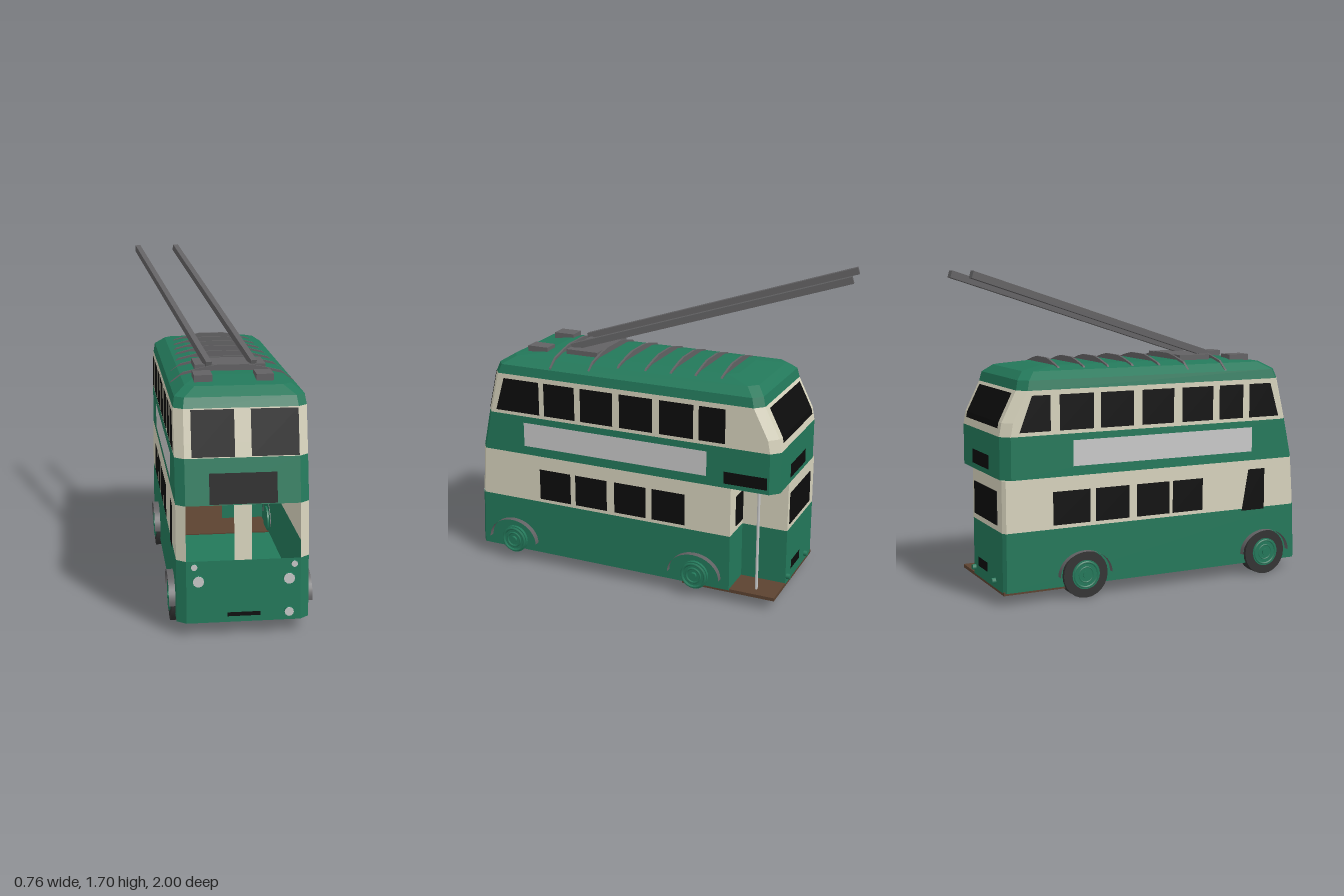
import * as THREE from 'three';

const CX = 0.025, HW = 0.3225; // body centre line and half width
const mat = (name, color, side = THREE.DoubleSide) => {
  const m = new THREE.MeshStandardMaterial({ color, side });
  m.name = name;
  return m;
};

// Front and rear face positions by height
const FRONT = [[0.07, 0.99], [0.38, 0.977], [0.65, 0.957], [0.87, 0.91], [1.1, 0.855]];
const REAR = [[0.07, -0.79], [0.87, -0.79], [0.94, -0.777], [1.1, -0.697]];
const lerpAt = (table, y) => {
  for (let i = 1; i < table.length; i++) {
    const [y0, z0] = table[i - 1], [y1, z1] = table[i];
    if (y <= y1 || i === table.length - 1) return z0 + (z1 - z0) * (y - y0) / (y1 - y0);
  }
};
const frontZ = y => lerpAt(FRONT, y), rearZ = y => lerpAt(REAR, y);

// Closed octagonal outline [x, z] with chamfered corners
const ring = (hw, zf, zr, c = 0.045) => [
  [CX + hw, zr + c], [CX + hw, zf - 0.035], [CX + hw - 0.045, zf], [CX - hw + 0.045, zf],
  [CX - hw, zf - 0.035], [CX - hw, zr + c], [CX - hw + c, zr], [CX + hw - c, zr]];

// Open outline of the lower deck, leaving the rear corner free for the platform
const lowerOutline = y => {
  const f = frontZ(y), r = CX + HW, l = CX - HW;
  return [[0.1, -0.54], [r, -0.54], [r, f - 0.035], [r - 0.045, f], [l + 0.045, f], [l, f - 0.035],
    [l, -0.775], [l + 0.02, -0.79], [0.16, -0.79], [0.16, -0.54]];
};

function geometryFrom(quads) {
  const pos = [];
  for (const [a, b, c, d] of quads) pos.push(...a, ...b, ...c, ...a, ...c, ...d);
  const g = new THREE.BufferGeometry();
  g.setAttribute('position', new THREE.Float32BufferAttribute(pos, 3));
  g.computeVertexNormals();
  return g;
}

// Wall strip between two outlines
function band(y0, lo, y1, hi, closed, skip = -1) {
  const quads = [], n = lo.length;
  for (let i = 0; i < (closed ? n : n - 1); i++) {
    if (i === skip) continue;
    const j = (i + 1) % n;
    const p = (o, k, y) => [o[k][0], y, o[k][1]];
    quads.push([p(lo, j, y0), p(lo, i, y0), p(hi, i, y1), p(hi, j, y1)]);
  }
  return geometryFrom(quads);
}

function plate(outline, y) {
  const g = new THREE.ShapeGeometry(new THREE.Shape(outline.map(([x, z]) => new THREE.Vector2(x, -z))));
  return g.rotateX(-Math.PI / 2).translate(0, y, 0);
}

export function createModel() {
  const root = new THREE.Group();
  root.name = 'trolleybus';
  const green = mat('green paint', 0x23785a), cream = mat('cream paint', 0xd6d2bc);
  const black = mat('window black', 0x0c0c0c), grey = mat('roof grey', 0x626163);
  const tyre = mat('tyre rubber', 0x333333), silver = mat('pale silver', 0xc8c8c8);
  const brown = mat('platform brown', 0x5c4230);

  const add = (name, geo, m, parent = root) => {
    const mesh = new THREE.Mesh(geo, m);
    mesh.name = name;
    parent.add(mesh);
    return mesh;
  };
  const box = (name, m, x0, x1, y0, y1, z0, z1) => add(name,
    new THREE.BoxGeometry(x1 - x0, y1 - y0, z1 - z0).translate((x0 + x1) / 2, (y0 + y1) / 2, (z0 + z1) / 2), m);

  // Flat panels laid on the front, rear and side faces
  const frontPanel = (name, m, x0, x1, y0, y1, off = 0.004) => add(name, geometryFrom([[
    [x0, y0, frontZ(y0) + off], [x1, y0, frontZ(y0) + off], [x1, y1, frontZ(y1) + off], [x0, y1, frontZ(y1) + off]]]), m);
  const rearPanel = (name, m, x0, x1, y0, y1) => add(name, geometryFrom([[
    [x1, y0, rearZ(y0) - 0.004], [x0, y0, rearZ(y0) - 0.004], [x0, y1, rearZ(y1) - 0.004], [x1, y1, rearZ(y1) - 0.004]]]), m);
  const sidePanel = (name, m, s, zF, zR, y0, y1, zFTop = zF, zRTop = zR) => {
    const x = CX + s * (HW + 0.004);
    const q = [[x, y0, zF], [x, y0, zR], [x, y1, zRTop], [x, y1, zFTop]];
    add(name, geometryFrom([s > 0 ? q : q.reverse()]), m);
  };

  // Lower deck shell with open windscreen
  add('lowerSkirt', band(0.07, lowerOutline(0.07), 0.38, lowerOutline(0.38)), green);
  add('lowerWindowBand', band(0.38, lowerOutline(0.38), 0.65, lowerOutline(0.65), false, 3), cream);
  add('underside', plate(lowerOutline(0.07).slice(1), 0.07), green);
  frontPanel('windscreenPillar', cream, -0.02, 0.065, 0.38, 0.65, 0);

  // Upper deck shell
  const upper = y => ring(HW, frontZ(y), rearZ(y));
  add('upperDeckFloor', plate(upper(0.65), 0.65), green);
  for (const [name, m, y0, y1] of [['middleBand', green, 0.65, 0.87],
    ['upperWindowBand', cream, 0.87, 0.94], ['upperWindowBand', cream, 0.94, 1.1]])
    add(name, band(y0, upper(y0), y1, upper(y1), true), m);

  // Domed roof
  const levels = [[1.1, HW, 0.855, -0.697], [1.15, 0.315, 0.835, -0.685], [1.19, 0.26, 0.77, -0.64], [1.21, 0.17, 0.6, -0.5]];
  for (let i = 1; i < levels.length; i++) {
    const [y0, ...a] = levels[i - 1], [y1, ...b] = levels[i];
    add('roofTier', band(y0, ring(...a), y1, ring(...b), true), green);
  }
  add('roofTop', plate(ring(...levels[3].slice(1)), 1.21), green);

  // Curved roof ribs
  [-0.44, -0.3, -0.165, -0.025, 0.13, 0.283, 0.505].forEach((z, i) => {
    const k = 0.86 + 0.022 * i;
    const half = [[0.315, 1.145], [0.31, 1.16], [0.25, 1.205], [0.15, 1.228], [0.08, 1.24]];
    const pts = [...half.map(([x, y]) => [x, y]), ...half.slice().reverse().map(([x, y]) => [-x, y])];
    const shape = new THREE.Shape(pts.map(([x, y]) => new THREE.Vector2(CX + x * k, y)));
    add('roofRib', new THREE.ExtrudeGeometry(shape, { depth: 0.012, bevelEnabled: false }).translate(0, 0, z - 0.006), grey);
  });

  // Roof equipment and trolley poles
  box('poleBase', grey, -0.16, 0.2, 1.2, 1.235, 0.29, 0.475);
  box('roofVent', grey, -0.185, -0.095, 1.19, 1.23, 0.59, 0.71);
  box('roofVent', grey, 0.12, 0.205, 1.19, 1.23, 0.59, 0.71);
  for (const [a, b] of [[[-0.09, 1.235, 0.49], [-0.367, 1.68, -0.96]], [[0.14, 1.235, 0.47], [-0.137, 1.68, -0.992]]]) {
    const from = new THREE.Vector3(...a), to = new THREE.Vector3(...b);
    const pole = add('trolleyPole', new THREE.BoxGeometry(0.03, 0.036, from.distanceTo(to)), grey);
    pole.position.copy(from).lerp(to, 0.5);
    pole.lookAt(to);
  }

  // Front windows, destination box, plate and lamps
  frontPanel('upperFrontWindow', black, -0.218, -0.01, 0.875, 1.095);
  frontPanel('upperFrontWindow', black, 0.07, 0.3, 0.875, 1.095);
  frontPanel('frontDestination', black, -0.137, 0.19, 0.655, 0.8);
  frontPanel('frontPlate', black, -0.055, 0.105, 0.1, 0.12);
  for (const [x, y, r] of [[-0.195, 0.283, 0.028], [0.245, 0.283, 0.028], [-0.215, 0.355, 0.016], [0.27, 0.355, 0.016], [0.245, 0.115, 0.023]]) {
    const z = frontZ(y);
    add('lampHousing', new THREE.CylinderGeometry(r, r, 0.02, 12).rotateX(Math.PI / 2).translate(x, y, z + 0.002), green);
    add('lampLens', new THREE.CylinderGeometry(r * 0.97, r * 0.97, 0.006, 12).rotateX(Math.PI / 2).translate(x, y, z + 0.013), silver);
  }

  // Rear windows, plates and lamps
  rearPanel('upperRearWindow', black, -0.22, 0.265, 0.91, 0.94);
  rearPanel('upperRearWindow', black, -0.22, 0.265, 0.94, 1.085);
  rearPanel('rearDestination', black, -0.1, 0.15, 0.68, 0.755);
  box('lowerRearWindow', black, -0.21, 0.13, 0.41, 0.585, -0.7945, -0.7855);
  rearPanel('rearPlate', black, -0.06, 0.085, 0.13, 0.18);
  for (const x of [-0.165, 0.14])
    add('rearLamp', new THREE.CylinderGeometry(0.015, 0.015, 0.02, 10).rotateX(Math.PI / 2).translate(x, 0.11, -0.8), green);

  // Side windows and banners
  for (const s of [1, -1]) sidePanel('sideBanner', silver, s, 0.67, -0.405, 0.7, 0.835);
  sidePanel('sideDestination', black, 1, -0.5, -0.735, 0.675, 0.74);
  const rightRow = [[0.54, 0.355], [0.32, 0.13], [0.09, -0.1], [-0.14, -0.33], [-0.36, -0.505]];
  const leftRow = [[0.61, 0.46], [0.42, 0.23], [0.18, -0.01], [-0.06, -0.25], [-0.29, -0.48]];
  for (const [f, r] of rightRow) sidePanel('upperSideWindow', black, 1, f, r, 0.89, 1.075);
  for (const [f, r] of leftRow) sidePanel('upperSideWindow', black, -1, f, r, 0.89, 1.075);
  sidePanel('upperSideWindow', black, 1, 0.84, 0.57, 0.89, 1.075, 0.785);
  sidePanel('upperSideWindow', black, -1, 0.84, 0.65, 0.89, 1.075, 0.785);
  sidePanel('upperSideWindow', black, -1, -0.53, -0.7, 0.89, 1.075, -0.53, -0.63);
  for (const [f, r] of [[0.58, 0.39], [0.36, 0.17], [0.125, -0.06], [-0.095, -0.285]])
    sidePanel('lowerSideWindow', black, 1, f, r, 0.4, 0.575);
  for (const [f, r] of [[0.36, 0.175], [0.155, -0.04], [-0.085, -0.28], [-0.31, -0.52]])
    sidePanel('lowerSideWindow', black, -1, f, r, 0.4, 0.575);
  sidePanel('cabDoorWindow', black, -1, 0.755, 0.61, 0.37, 0.6, 0.755, 0.65);

  // Open rear platform with its bulkhead window and handrail
  box('platform', brown, -0.29, 0.345, 0.058, 0.076, -0.79, -0.27);
  box('bulkheadWindow', black, 0.17, 0.27, 0.41, 0.575, -0.546, -0.541);
  add('handrail', new THREE.CylinderGeometry(0.008, 0.008, 0.58, 8).translate(0.28, 0.36, -0.67), silver);

  // Wheels, hubs and arches
  for (const z of [0.755, -0.345]) {
    for (const s of [1, -1]) {
      const wheel = new THREE.Group();
      wheel.name = 'wheel';
      wheel.position.set(CX + s * HW, 0.126, z);
      root.add(wheel);
      const disc = (name, m, r, x0, x1) => add(name,
        new THREE.CylinderGeometry(r, r, x1 - x0, 24).rotateZ(Math.PI / 2).translate(s * (x0 + x1) / 2, 0, 0), m, wheel);
      if (s < 0) disc('tyre', tyre, 0.125, -0.05, 0.02);
      disc('hub', green, 0.078, -0.01, s > 0 ? 0.016 : 0.024);
      for (const [r, t] of [[0.066, 0.008], [0.04, 0.006]])
        add('hubRing', new THREE.TorusGeometry(r, t, 6, 24).rotateY(Math.PI / 2).translate(s * 0.02, 0, 0), green, wheel);
      disc('hubCap', green, 0.018, 0, 0.03);
      const arch = new THREE.CylinderGeometry(0.125, 0.125, 0.036, 20, 1, true, 0, Math.PI)
        .rotateZ(Math.PI / 2).scale(1, 1, 1.18).translate(s * 0.014, 0, 0);
      add('wheelArch', arch, grey, wheel);
    }
  }
  return root;
}
